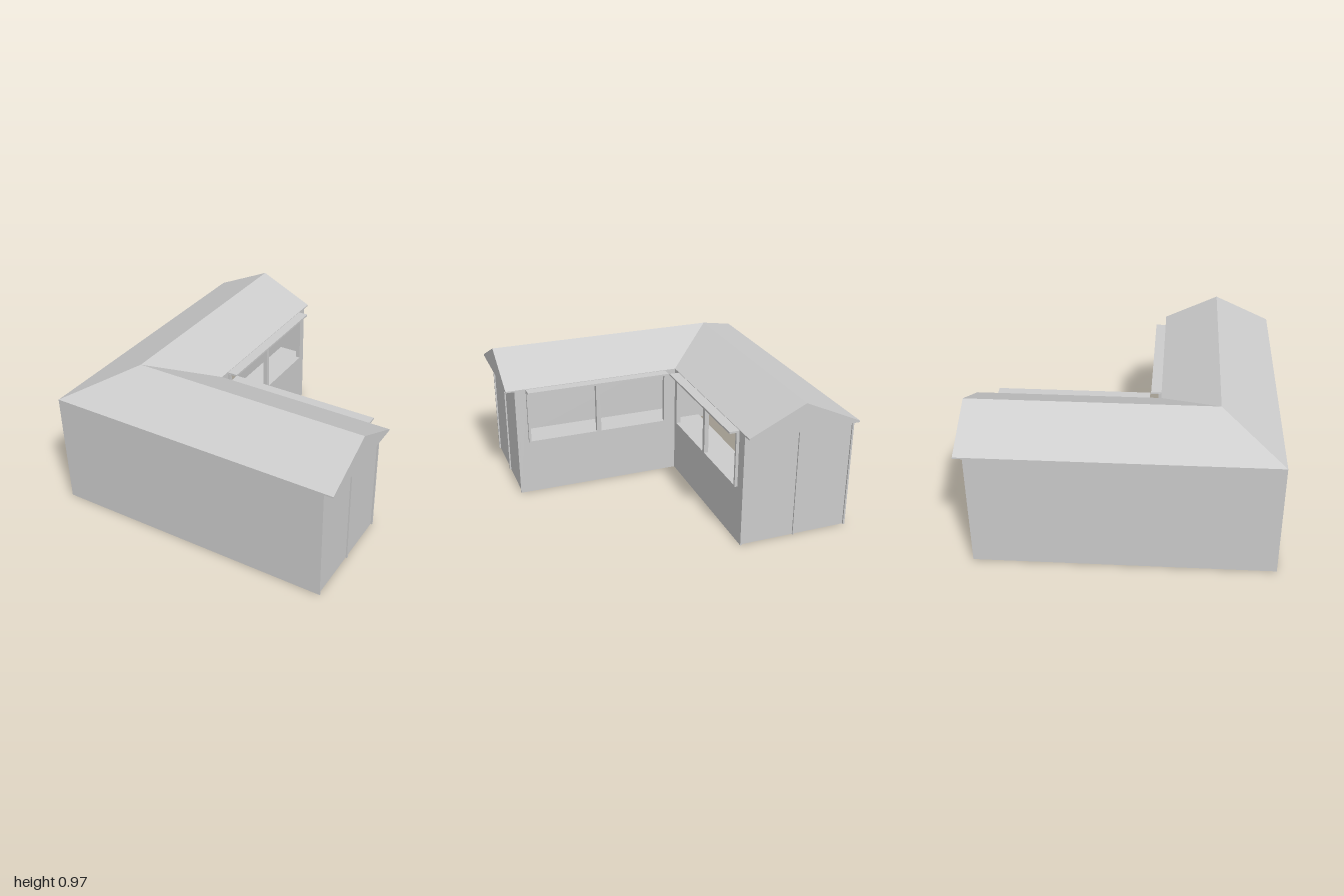
import * as THREE from 'three';

const material = new THREE.MeshStandardMaterial({ color: 0xcccccc, flatShading: true, side: THREE.DoubleSide });

function add(parent, name, geometry) {
  const mesh = new THREE.Mesh(geometry, material);
  mesh.name = name;
  parent.add(mesh);
  return mesh;
}

// Box given by its extents on each axis
function box(parent, name, [x0, x1], [y0, y1], [z0, z1]) {
  const g = new THREE.BoxGeometry(x1 - x0, y1 - y0, z1 - z0);
  g.translate((x0 + x1) / 2, (y0 + y1) / 2, (z0 + z1) / 2);
  return add(parent, name, g);
}

function trace(path, x0, x1, y0, y1) {
  path.moveTo(x0, y0);
  path.lineTo(x1, y0);
  path.lineTo(x1, y1);
  path.lineTo(x0, y1);
  path.closePath();
  return path;
}

// Upright panel in the xy plane with rectangular openings
function panel(parent, name, rect, holes, z, depth) {
  const shape = trace(new THREE.Shape(), ...rect);
  for (const h of holes) shape.holes.push(trace(new THREE.Path(), ...h));
  const g = new THREE.ExtrudeGeometry(shape, { depth, bevelEnabled: false });
  g.translate(0, 0, z);
  return add(parent, name, g);
}

// Gable roof running along x, mitred at the corner of the building
function roofGeometry() {
  const profile = [[1, 0.78], [1, 0.79], [0.61, 0.97], [0.23, 0.79], [0.23, 0.78]];
  const shape = new THREE.Shape(profile.map(([z, y]) => new THREE.Vector2(-z, y)));
  const g = new THREE.ExtrudeGeometry(shape, { depth: 1, bevelEnabled: false });
  g.rotateY(Math.PI / 2);
  const p = g.attributes.position;
  for (let i = 0; i < p.count; i++) if (p.getX(i) < 0.5) p.setX(i, -p.getZ(i));
  g.computeVertexNormals();
  return g;
}

function createWing(name) {
  const wing = new THREE.Group();
  wing.name = name;

  add(wing, 'roof', roofGeometry());

  // Walls, open underneath
  box(wing, 'outerWall', [-1, 0.94], [0, 0.785], [0.992, 1]);
  panel(wing, 'windowWall', [-0.23, 0.935, 0, 0.78], [[-0.15, 0.855, 0.4, 0.77]], 0.23, 0.008);
  box(wing, 'endWall', [0.922, 0.93], [0, 0.78], [0.23, 1]);
  for (const z of [0.236, 0.615, 0.994])
    box(wing, 'endPost', [0.925, 0.94], [0, 0.78], [z - 0.006, z + 0.006]);

  // Two-pane window frame, awning above it and counter behind it
  panel(wing, 'windowFrame', [-0.157, 0.862, 0.393, 0.778],
    [[-0.14, 0.338, 0.402, 0.77], [0.37, 0.846, 0.402, 0.77]], 0.21, 0.03);
  box(wing, 'awning', [-0.155, 0.862], [0.774, 0.787], [0.16, 0.235]);
  box(wing, 'counter', [-0.23, 0.925], [0.388, 0.4], [0.235, 0.42]);
  return wing;
}

export function createModel() {
  const model = new THREE.Group();
  model.name = 'cornerBuilding';
  model.add(createWing('frontWing'));

  // Second wing mirrored across the corner diagonal
  const side = createWing('sideWing');
  side.rotation.y = Math.PI / 2;
  side.scale.z = -1;
  model.add(side);
  return model;
}
